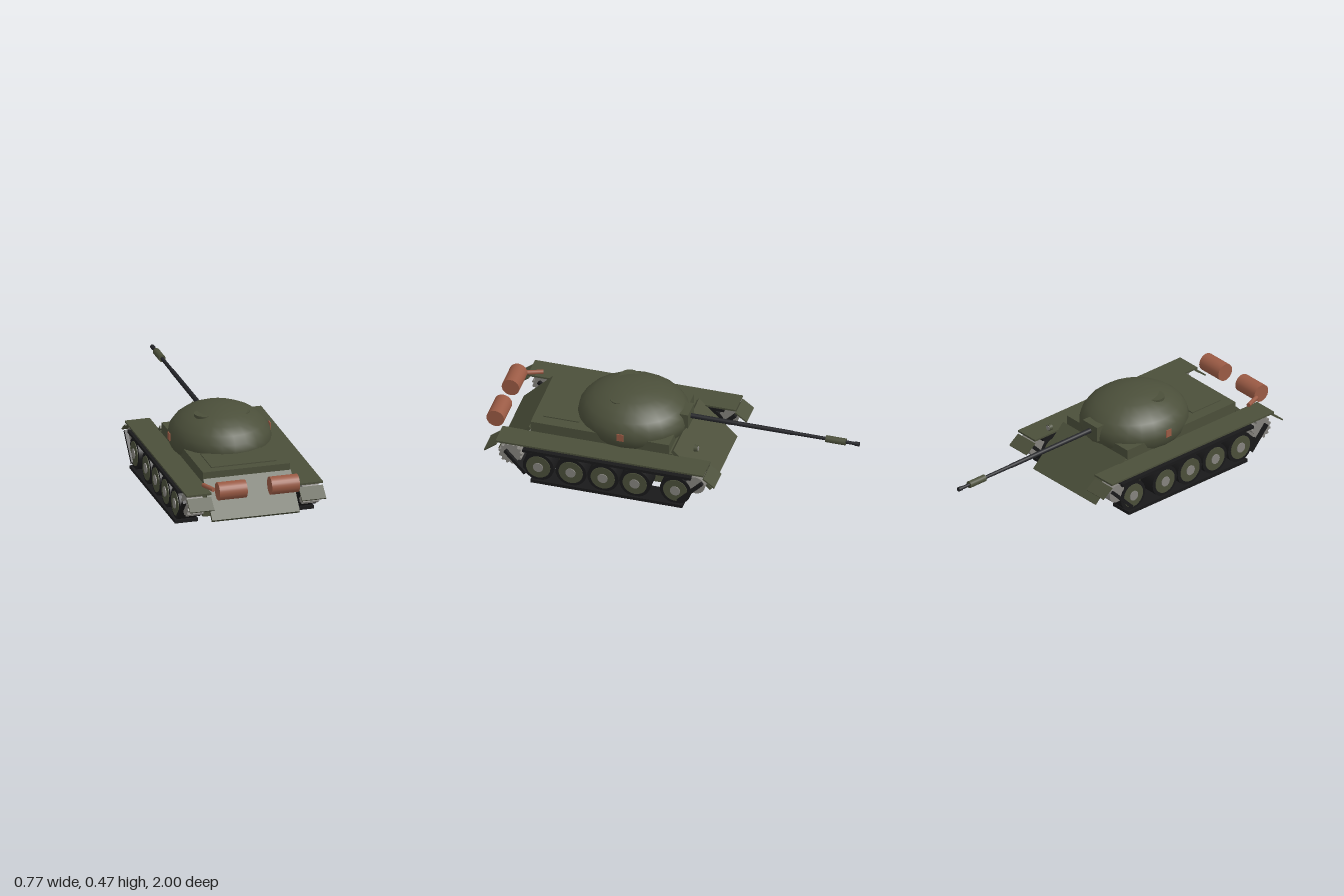
import * as THREE from 'three';

const mat = (name, color) => Object.assign(new THREE.MeshStandardMaterial({ color }), { name });

export function createModel() {
  const olive = mat('olive paint', 0x4b4f3a);
  const black = mat('track black', 0x19191a);
  const gunmetal = mat('gunmetal', 0x232428);
  const steel = mat('worn steel', 0x85837e);
  const rust = mat('rust red', 0x9a5a44);

  const model = new THREE.Group();
  const add = (name, geo, material, x = 0, y = 0, z = 0, parent = model) => {
    const m = new THREE.Mesh(geo, material);
    m.name = name;
    m.position.set(x, y, z);
    parent.add(m);
    return m;
  };
  const box = (name, material, w, h, d, x, y, z) =>
    add(name, new THREE.BoxGeometry(w, h, d), material, x, y, z);
  // Flat plate spanning two [z, y] points
  const plate = (name, material, a, b, x, width, thick) => {
    const dz = b[0] - a[0], dy = b[1] - a[1];
    const m = box(name, material, width, thick, Math.hypot(dz, dy), x, (a[1] + b[1]) / 2, (a[0] + b[0]) / 2);
    m.rotation.x = Math.atan2(-dy, dz);
    return m;
  };
  const axle = (name, material, r, width, x, y, z, sides = 24) => {
    const g = new THREE.CylinderGeometry(r, r, width, sides).rotateZ(Math.PI / 2);
    return add(name, g, material, x, y, z);
  };
  const rod = (name, material, r0, r1, z0, z1, x, y) => {
    const g = new THREE.CylinderGeometry(r1, r0, Math.abs(z1 - z0), 16).rotateX(-Math.PI / 2);
    return add(name, g, material, x, y, (z0 + z1) / 2);
  };

  // Lower hull: side profile drawn as (-z, y), extruded across x
  const side = new THREE.Shape([
    [-0.75, 0.038], [0.13, 0.038], [0.13, 0.15], [0.05, 0.235], [-0.75, 0.235],
  ].map(p => new THREE.Vector2(...p)));
  const hull = new THREE.ExtrudeGeometry(side, { depth: 0.484, bevelEnabled: false });
  hull.translate(0, 0, -0.242).rotateY(Math.PI / 2);
  add('lowerHull', hull, olive);

  // Upper hull, decks and sloping end plates
  box('upperHull', olive, 0.484, 0.08, 0.765, 0, 0.25, 0.3675);
  box('engineDeck', olive, 0.36, 0.008, 0.2, 0, 0.292, 0.6);
  plate('rearPlate', olive, [0.752, 0.25], [0.922, 0.076], 0, 0.486, 0.018);
  plate('frontPlate', olive, [-0.035, 0.255], [-0.248, 0.05], 0, 0.49, 0.018);

  // Turret
  const dome = add('turret', new THREE.SphereGeometry(1, 24, 12), olive, 0, 0.295, 0.245);
  dome.scale.set(0.276, 0.17, 0.304);
  add('commanderHatch', new THREE.CylinderGeometry(0.055, 0.055, 0.03, 24), olive, -0.1, 0.43, 0.3);
  add('loaderHatch', new THREE.CylinderGeometry(0.05, 0.05, 0.03, 24), olive, 0.1, 0.422, 0.3);
  box('mantlet', olive, 0.115, 0.085, 0.06, 0, 0.325, -0.038);

  // Gun
  rod('barrelBase', gunmetal, 0.0135, 0.012, -0.05, -0.63, 0, 0.327);
  rod('barrel', gunmetal, 0.0105, 0.009, -0.6, -0.99, 0, 0.327);
  rod('boreEvacuator', olive, 0.019, 0.019, -0.815, -0.925, 0, 0.327);
  rod('muzzle', gunmetal, 0.012, 0.012, -0.975, -1.0, 0, 0.327);

  // Headlight and exhaust pipe
  rod('headlight', olive, 0.018, 0.018, -0.15, -0.17, 0.22, 0.285);
  rod('headlightLens', steel, 0.014, 0.014, -0.168, -0.173, 0.22, 0.285);
  const exhaust = rod('exhaustPipe', rust, 0.012, 0.012, 0.912, 0.822, -0.246, 0.25);
  exhaust.rotation.y = 0.36;

  // Toothed sprocket, extruded along x
  const gear = new THREE.Shape();
  const teeth = 13;
  for (let i = 0; i < teeth * 4; i++) {
    const a = (i / (teeth * 4)) * Math.PI * 2;
    const r = i % 4 < 2 ? 0.066 : 0.055;
    gear[i ? 'lineTo' : 'moveTo'](r * Math.cos(a), r * Math.sin(a));
  }
  gear.closePath();
  const sprocket = new THREE.ExtrudeGeometry(gear, { depth: 0.09, bevelEnabled: false });
  sprocket.translate(0, 0, -0.045).rotateY(Math.PI / 2);

  for (const s of [-1, 1]) {
    const tx = s * 0.321;

    // Fenders with angled mud flaps
    box('fender', olive, 0.138, 0.01, 1.15, s * 0.309, 0.225, 0.33);
    plate('rearMudFlap', olive, [0.902, 0.207], [0.967, 0.155], s * 0.31, 0.134, 0.008);
    plate('frontMudFlap', olive, [-0.242, 0.207], [-0.305, 0.16], s * 0.31, 0.134, 0.008);

    // Track runs
    box('lowerTrack', black, 0.128, 0.018, 0.84, tx, 0.009, 0.29);
    box('upperTrack', black, 0.128, 0.016, 0.93, tx, 0.197, 0.29);
    plate('rearTrack', black, [0.74, 0.05], [0.852, 0.174], tx, 0.128, 0.018);
    plate('frontTrack', black, [-0.105, 0.04], [-0.237, 0.176], tx, 0.128, 0.018);

    // Road wheels
    for (const z of [0.67, 0.49, 0.313, 0.136, -0.088]) {
      axle('tyre', black, 0.086, 0.1, tx, 0.1, z);
      axle('wheelDisc', olive, 0.067, 0.108, tx, 0.1, z);
      axle('wheelHub', steel, 0.028, 0.118, tx, 0.1, z, 16);
    }
    add('sprocket', sprocket, steel, tx, 0.152, 0.826);
    axle('idler', steel, 0.052, 0.09, tx, 0.15, -0.197, 20);

    // Fuel drums and turret side markers
    axle('fuelDrum', rust, 0.049, 0.154, s * 0.145, 0.256, 0.951);
    box('turretMarker', rust, 0.005, 0.042, 0.038, s * 0.279, 0.312, 0.245);
  }
  return model;
}
